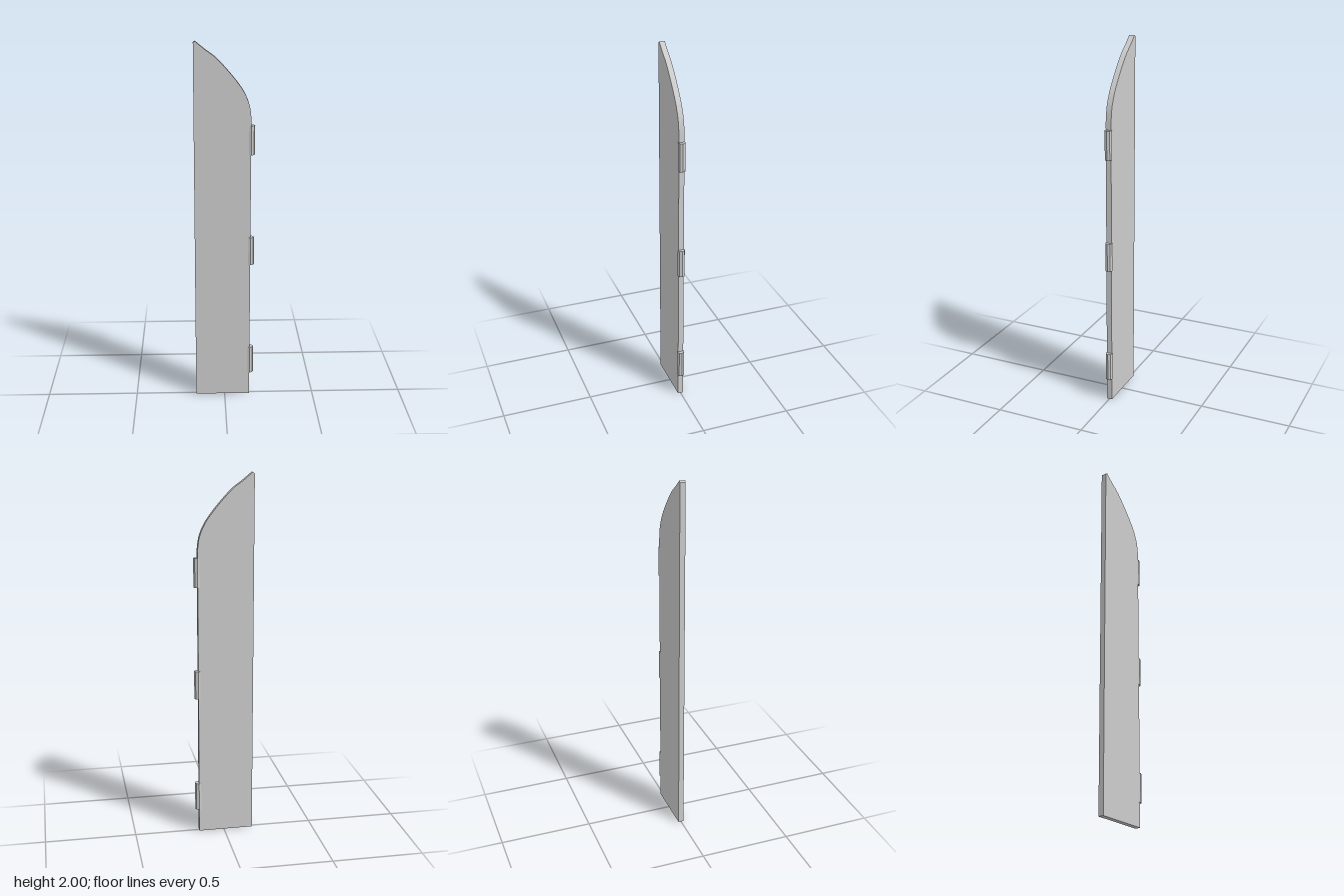
import * as THREE from 'three';
import { toCreasedNormals } from 'three/addons/utils/BufferGeometryUtils.js';

export function createModel() {
  const model = new THREE.Group();
  const thickness = 0.03;

  // Tall door leaf with a straight free edge and a curved top falling to the hinge side
  const outline = new THREE.Shape();
  outline.moveTo(-0.162, 0);
  outline.lineTo(0.14, 0);
  outline.lineTo(0.14, 1.6);
  outline.splineThru([
    [0.13, 1.67], [0.103, 1.735], [0.066, 1.79], [0.008, 1.86],
    [-0.05, 1.92], [-0.1, 1.957], [-0.152, 2],
  ].map(([x, y]) => new THREE.Vector2(x, y)));
  outline.lineTo(-0.162, 1.992);
  outline.closePath();

  const leafGeometry = new THREE.ExtrudeGeometry(outline, {
    depth: thickness, bevelEnabled: false, curveSegments: 3,
  });
  leafGeometry.translate(0, 0, -thickness / 2);
  const leaf = new THREE.Mesh(
    toCreasedNormals(leafGeometry, 0.5),
    new THREE.MeshStandardMaterial({ color: 0xcccccc }),
  );
  leaf.name = 'doorLeaf';
  model.add(leaf);

  // Three octagonal hinge barrels along the edge
  const hingeGeometry = new THREE.CylinderGeometry(0.02, 0.02, 0.157, 8);
  const hingeMaterial = new THREE.MeshStandardMaterial({ color: 0xcccccc, flatShading: true });
  ['lowerHinge', 'middleHinge', 'upperHinge'].forEach((name, i) => {
    const hinge = new THREE.Mesh(hingeGeometry, hingeMaterial);
    hinge.name = name;
    hinge.position.set(0.141, [0.21, 0.863, 1.481][i], 0);
    model.add(hinge);
  });

  return model;
}
